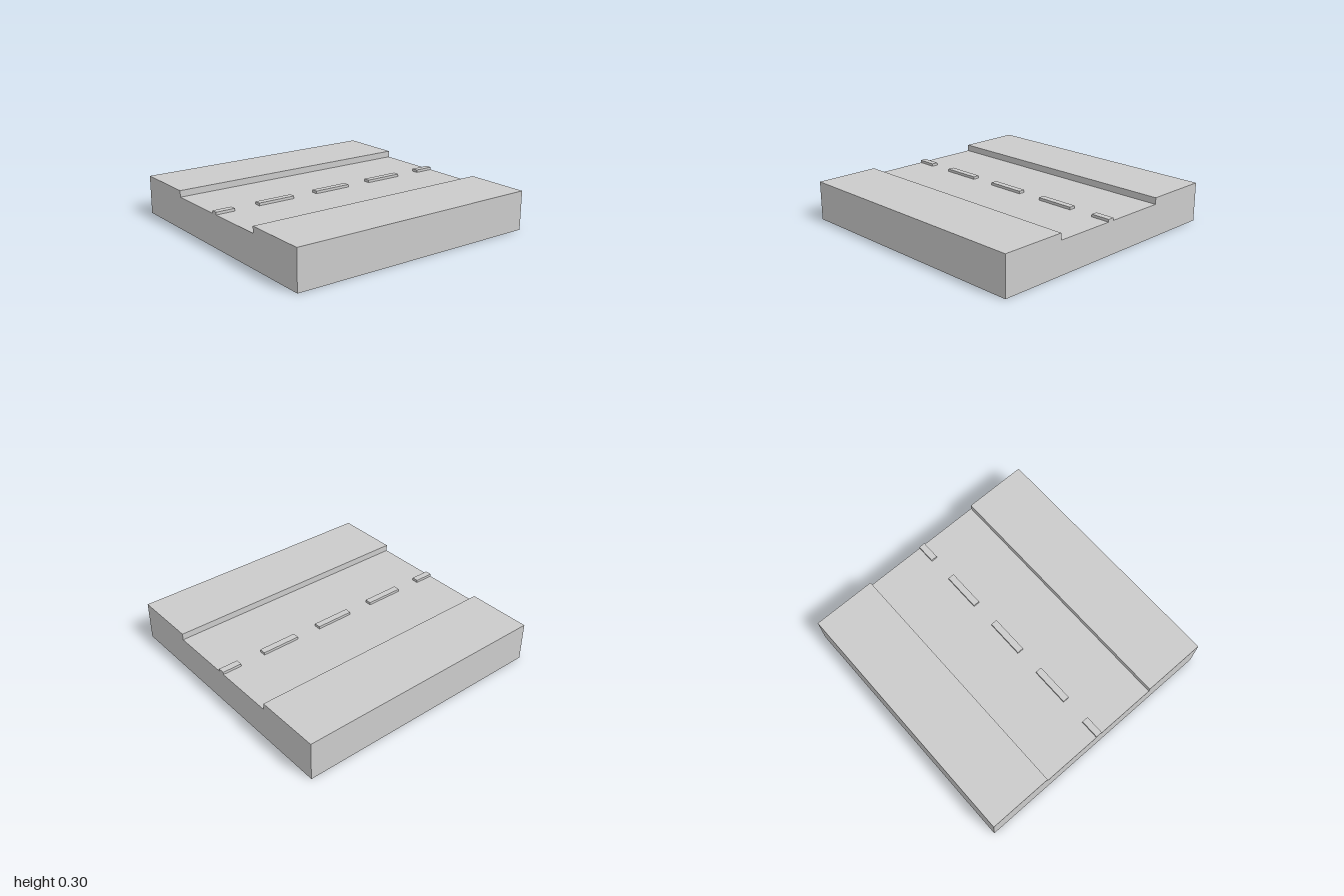
import * as THREE from 'three';

const LENGTH = 2;
const ROAD_Y = 0.25;
const KERB_Y = 0.3;
const ROAD_HALF = 0.5;
const DASH_HEIGHT = 0.02;
const DASH_WIDTH = 0.05;

export function createModel() {
  const group = new THREE.Group();
  group.name = 'roadTile';
  const material = new THREE.MeshStandardMaterial({ color: 0xcccccc, flatShading: true });

  // Slab: cross-section with a sunken roadway between two raised pavements, run along x
  const profile = new THREE.Shape([
    [-1, 0], [1, 0], [1, KERB_Y], [ROAD_HALF, KERB_Y], [ROAD_HALF, ROAD_Y],
    [-ROAD_HALF, ROAD_Y], [-ROAD_HALF, KERB_Y], [-1, KERB_Y],
  ].map(([z, y]) => new THREE.Vector2(z, y)));
  const slabGeometry = new THREE.ExtrudeGeometry(profile, { depth: LENGTH, bevelEnabled: false });
  slabGeometry.translate(0, 0, -LENGTH / 2).rotateY(Math.PI / 2);
  const slab = new THREE.Mesh(slabGeometry, material);
  slab.name = 'roadSlab';
  group.add(slab);

  // Centre line: evenly spaced raised dashes, the end ones cut at the tile edge
  const dashes = new THREE.Group();
  dashes.name = 'centreLine';
  for (let i = -2; i <= 2; i++) {
    const start = Math.max(i * 0.5 - 0.15, -1);
    const end = Math.min(i * 0.5 + 0.15, 1);
    const dash = new THREE.Mesh(new THREE.BoxGeometry(end - start, DASH_HEIGHT, DASH_WIDTH), material);
    dash.position.set((start + end) / 2, ROAD_Y + DASH_HEIGHT / 2, 0);
    dash.name = 'laneDash';
    dashes.add(dash);
  }
  group.add(dashes);

  return group;
}
